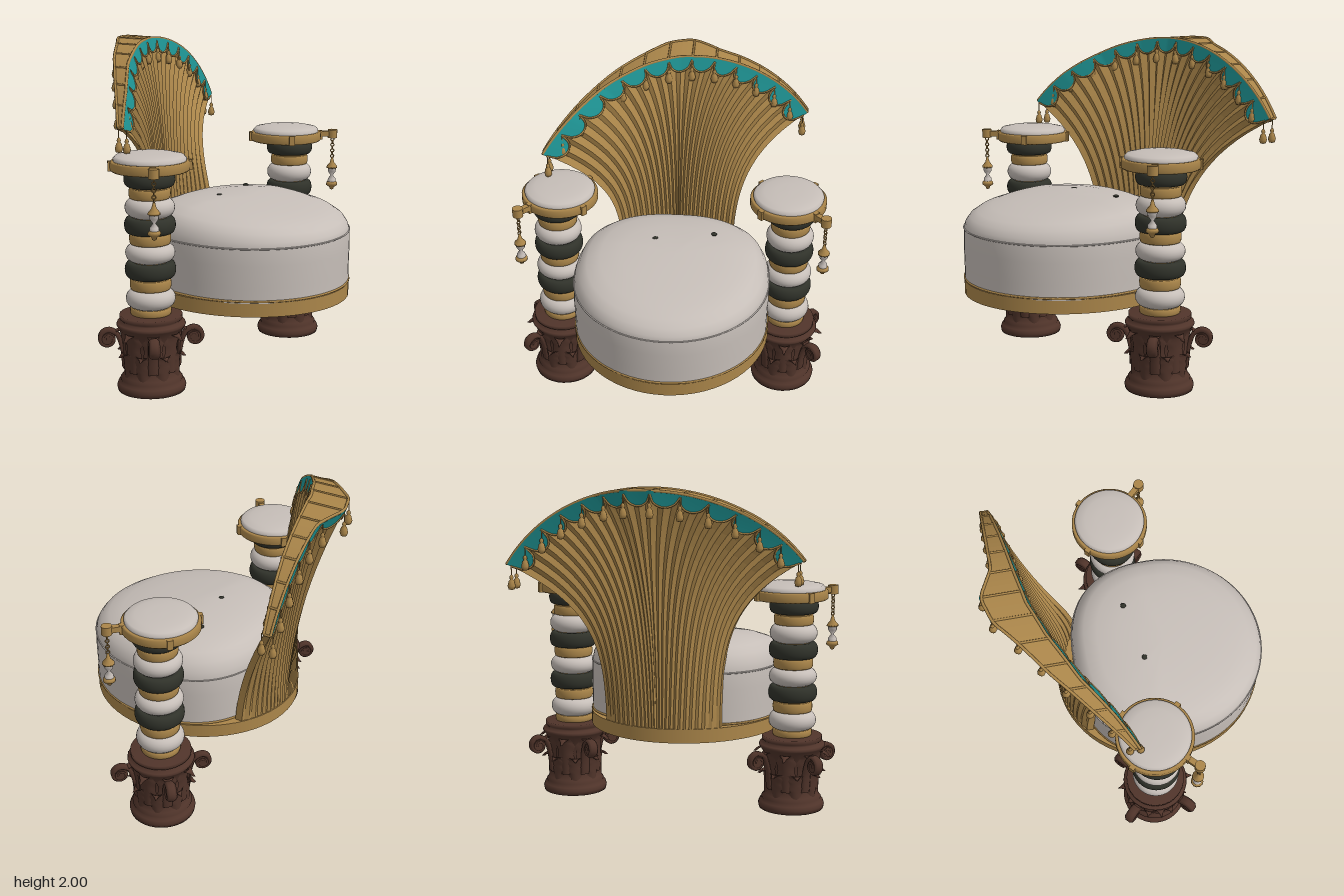
import * as THREE from 'three';
import { mergeVertices } from 'three/addons/utils/BufferGeometryUtils.js';

const mat = (name, color) => {
  const m = new THREE.MeshStandardMaterial({ color, side: THREE.DoubleSide });
  m.name = name;
  return m;
};
const V = (x, y, z) => new THREE.Vector3(x, y, z);
const lerp = THREE.MathUtils.lerp;

// Piecewise linear lookup in a short list of [key, value]
function lookup(pts, k) {
  for (let i = 1; i < pts.length; i++) {
    if (k <= pts[i][0] || i === pts.length - 1) {
      const [a, b] = [pts[i - 1], pts[i]];
      return a[1] + (b[1] - a[1]) * (k - a[0]) / (b[0] - a[0]);
    }
  }
}

// Surface from fn(s, t) with s, t in 0..1
function grid(fn, nu, nv, flat = false) {
  const pos = [], idx = [];
  for (let j = 0; j <= nv; j++) for (let i = 0; i <= nu; i++) pos.push(...fn(i / nu, j / nv).toArray());
  for (let j = 0; j < nv; j++) for (let i = 0; i < nu; i++) {
    const a = j * (nu + 1) + i, c = a + nu + 1;
    idx.push(a, a + 1, c, a + 1, c + 1, c);
  }
  let g = new THREE.BufferGeometry();
  g.setAttribute('position', new THREE.Float32BufferAttribute(pos, 3));
  g.setIndex(idx);
  if (flat) g = g.toNonIndexed();
  g.computeVertexNormals();
  return g;
}

const lathe = (pts, n = 32) => new THREE.LatheGeometry(pts.map(p => new THREE.Vector2(p[0], p[1])), n);
const tube = (pts, r, n = 12) => new THREE.TubeGeometry(new THREE.CatmullRomCurve3(pts), n, r, 6);

export function createModel() {
  const gold = mat('gold', 0xab864a), cream = mat('cream', 0xc6beb8), teal = mat('teal', 0x1f9696);
  const brown = mat('brown', 0x50342a), dark = mat('dark', 0x30322a);
  const model = new THREE.Group();
  const add = (parent, name, geo, m, x = 0, y = 0, z = 0) => {
    const mesh = new THREE.Mesh(geo, m);
    mesh.name = name;
    mesh.position.set(x, y, z);
    parent.add(mesh);
    return mesh;
  };
  const group = (name, parent = model) => {
    const g = new THREE.Group();
    g.name = name;
    parent.add(g);
    return g;
  };

  // Seat platform
  add(model, 'seatPlatform', new THREE.CylinderGeometry(1, 1, 0.085, 64), gold, 0.18, 0.522, 0).scale.set(0.66, 1, 0.61);

  // Seat cushion: a turned profile bent to a rounded outline with a lower front
  const outline = (a, s) => {
    const c = Math.cos(a), n = Math.sin(a), p = c < 0 ? 2 / 2.5 : 1;
    return [0.22 + s * (c < 0 ? 0.58 : 0.615) * Math.sign(c) * Math.abs(c) ** p, s * 0.6 * Math.sign(n) * Math.abs(n) ** p];
  };
  let cushion = lathe([[1, 0.56], [1, 0.65], [1.005, 0.78], [1, 0.88], [0.985, 0.93], [0.94, 0.985], [0.86, 1.025],
    [0.72, 1.055], [0.5, 1.072], [0.25, 1.08], [0, 1.082]], 72);
  const cp = cushion.attributes.position;
  for (let i = 0; i < cp.count; i++) {
    const [x, z] = outline(Math.atan2(cp.getZ(i), cp.getX(i)), Math.hypot(cp.getX(i), cp.getZ(i)));
    const y = cp.getY(i), dip = 0.07 * Math.max(0, (x - 0.1) / 0.7) * Math.max(0, (y - 0.88) / 0.2);
    cp.setXYZ(i, x, y - dip, z);
  }
  cushion.deleteAttribute('uv');
  cushion.deleteAttribute('normal');
  cushion = mergeVertices(cushion, 1e-4);
  cushion.computeVertexNormals();
  add(model, 'seatCushion', cushion, cream);

  // Piping seams and tufting buttons
  for (const [y, r, m] of [[0.572, 0.007, gold], [0.882, 0.005, cream]]) {
    const loop = [];
    for (let i = 0; i < 48; i++) {
      const [x, z] = outline(i / 48 * Math.PI * 2, 1);
      loop.push(V(x, y, z));
    }
    add(model, 'seatPiping', new THREE.TubeGeometry(new THREE.CatmullRomCurve3(loop, true), 96, r, 6, true), m);
  }
  for (const [x, z] of [[0, -0.25], [0.07, 0.11]])
    add(model, 'seatButton', new THREE.SphereGeometry(0.018, 10, 6), dark, x, 1.076, z).scale.y = 0.5;

  // Pleated fan backrest: rim x by z for the front and back faces
  const rimX = {
    front: [[-0.82, -0.73], [-0.5, -0.67], [-0.2, -0.62], [0, -0.58], [0.2, -0.5], [0.45, -0.36], [0.65, -0.2], [0.82, -0.08]],
    back: [[-0.82, -0.77], [-0.5, -0.755], [-0.25, -0.745], [-0.07, -0.825], [0.08, -0.78], [0.22, -0.66], [0.4, -0.52], [0.6, -0.33], [0.82, -0.11]],
  };
  const pleats = 26;
  const fan = (side, u, v, off = 0) => {
    const zr = 0.96 * Math.sin(u), yr = 1.035 + 0.96 * Math.cos(u);
    const zb = 0.36 * Math.sign(u) * Math.abs(u) ** lerp(1.5, 1, v);
    const z = zb + (zr - 0.36 * u) * v ** 4.4;
    const xb = 0.18 - 0.655 * Math.sqrt(1 - (zb / 0.61) ** 2) + (side === 'front' ? 0.045 : 0);
    const dir = side === 'front' ? 1 : -1;
    return V(lerp(xb, lookup(rimX[side], zr), v * v) + dir * off, lerp(0.5, yr, v), z);
  };
  const backrest = group('fanBackrest');
  for (const side of ['front', 'back'])
    add(backrest, side + 'Pleats', grid((s, t) => {
      const fold = Math.round(s * pleats * 2) % 2 ? -1 : 0;
      return fan(side, s * 2 - 1, t, fold * 0.022 * (0.3 + 0.7 * t));
    }, pleats * 2, 22, true), gold);
  add(backrest, 'rimCap', grid((s, t) => fan('front', s * 2 - 1, 1).lerp(fan('back', s * 2 - 1, 1), t), 60, 1, true), gold);
  for (const u of [-1, 1])
    add(backrest, 'sideEdge', grid((s, t) => fan('front', u, t).lerp(fan('back', u, t), s), 1, 22), gold);

  // Scalloped trim with teal inlays, gold cords and tassels on both faces
  const scallops = 13;
  const tassel = lathe([[0, -0.105], [0.018, -0.1], [0.024, -0.08], [0.016, -0.05], [0.008, -0.042], [0.013, -0.034],
    [0.01, -0.022], [0.003, -0.015], [0.003, 0.03]], 10);
  for (const side of ['front', 'back']) {
    const drop = s => 0.012 + 0.048 * Math.sqrt(Math.max(0, 1 - (2 * s - 1) ** 2));
    const rim = [];
    for (let i = 0; i <= 40; i++) rim.push(fan(side, i / 20 - 1, 1));
    add(backrest, side + 'RimCord', tube(rim, 0.009, 80), gold);
    for (let i = 0; i < scallops; i++) {
      const u = s => -1 + 2 * (i + s) / scallops;
      add(backrest, side + 'TealScallop', grid((s, t) => fan(side, u(s), 1 - drop(s) * t, 0.008), 12, 3), teal);
      const edge = [];
      for (let k = 0; k <= 10; k++) edge.push(fan(side, u(k / 10), 1 - drop(k / 10), 0.008));
      add(backrest, side + 'ScallopCord', tube(edge, 0.006, 16), gold);
    }
    for (let i = 0; i <= scallops; i++) {
      const p = fan(side, -1 + 2 * i / scallops, 0.985, 0.014);
      add(backrest, side + 'Tassel', tassel, gold, p.x, p.y - 0.03, p.z);
    }
  }
  for (let i = 0; i <= scallops; i++) {
    const u = -1 + 2 * i / scallops;
    add(backrest, 'rimRib', tube([fan('front', u, 1), fan('back', u, 1)], 0.007, 1), gold);
  }

  // Rounded ring of the column stack
  const ring = (r, y0, y1, k) => {
    const pts = [[0, y0]], h = (y1 - y0) / 2;
    for (let i = 0; i <= 10; i++) {
      const a = -Math.PI / 2 + i / 10 * Math.PI;
      pts.push([r - k + k * Math.cos(a), y0 + h + h * Math.sin(a)]);
    }
    pts.push([0, y1]);
    return lathe(pts, 36);
  };
  const stack = [['gold', 0.46, 0.503], ['cream', 0.5, 0.612], ['gold', 0.612, 0.675], ['dark', 0.683, 0.777],
    ['cream', 0.777, 0.883], ['gold', 0.884, 0.946], ['dark', 0.948, 1.042], ['cream', 1.042, 1.155],
    ['gold', 1.153, 1.213], ['dark', 1.222, 1.306]];
  const style = { gold: [gold, 0.122, 0.008], cream: [cream, 0.146, 0.055], dark: [dark, 0.15, 0.025] };

  // Curling acanthus leaf
  const leaf = (y0, h, w, r0, curl) => grid((s, t) => {
    const b = 2 * s - 1, width = w * Math.sin(Math.PI * (0.22 + 0.74 * t)) * (1 + 0.12 * Math.cos(t * 30));
    const y = y0 + h * Math.sin(t * 2.1);
    return V(b * width, y, r0 + 0.02 - 0.02 * b * b + curl * t ** 3);
  }, 6, 14);

  for (const side of [1, -1]) {
    const column = group(side > 0 ? 'leftColumn' : 'rightColumn');
    column.position.set(side > 0 ? 0.035 : 0.01, 0, side * 0.718);

    // Carved foot
    add(column, 'carvedFoot', lathe([[0, 0], [0.2, 0], [0.205, 0.025], [0.197, 0.048], [0.18, 0.055], [0.185, 0.07], [0.17, 0.09],
      [0.155, 0.12], [0.148, 0.2], [0.152, 0.28], [0.172, 0.35], [0.2, 0.39], [0.205, 0.4], [0.2, 0.412], [0.17, 0.42],
      [0.185, 0.435], [0.185, 0.46], [0, 0.465]], 36), brown);
    for (let i = 0; i < 8; i++) {
      const a = i / 8 * Math.PI * 2;
      add(column, 'lowerLeaf', leaf(0.09, 0.15, 0.058, 0.15, 0.045), brown).rotation.y = a + Math.PI / 8;
      add(column, 'upperLeaf', leaf(0.13, 0.24, 0.058, 0.15, 0.075), brown).rotation.y = a;
    }
    for (let i = 0; i < 4; i++) {
      const volute = group('volute', column);
      volute.rotation.y = Math.PI / 4 + i * Math.PI / 2;
      const spiral = [V(0, 0.14, 0.16), V(0, 0.25, 0.17), V(0, 0.34, 0.2)];
      for (let k = 0; k <= 14; k++) {
        const a = 2.3 - k * 0.62, r = 0.055 - k * 0.0028;
        spiral.push(V(0, 0.315 + r * Math.sin(a), 0.255 + r * Math.cos(a)));
      }
      const scroll = add(volute, 'scroll', tube(spiral, 0.016, 50), brown);
      scroll.scale.x = 2;
      add(volute, 'scrollCore', new THREE.CylinderGeometry(0.036, 0.036, 0.05, 16), brown, 0, 0.315, 0.255).rotation.z = Math.PI / 2;
    }

    // Stacked shaft
    add(column, 'shaftCore', new THREE.CylinderGeometry(0.105, 0.105, 0.86, 24), gold, 0, 0.89, 0);
    for (const [c, y0, y1] of stack) add(column, c + 'ShaftRing', ring(style[c][1], y0, y1, style[c][2]), style[c][0]);

    // Armrest pad on a gold tray with clips
    const arm = group('armrest', column);
    arm.position.set(-0.015, 0, -side * 0.022);
    add(arm, 'tray', lathe([[0, 1.308], [0.222, 1.308], [0.232, 1.318], [0.232, 1.36], [0.222, 1.368], [0, 1.368]], 48), gold);
    add(arm, 'pad', lathe([[0.212, 1.365], [0.214, 1.38], [0.2, 1.395], [0.15, 1.406], [0.08, 1.411], [0, 1.412]], 48), cream);
    for (let i = 0; i < 4; i++) {
      const a = Math.PI / 4 + i * Math.PI / 2;
      const clip = add(arm, 'clip', new THREE.BoxGeometry(0.035, 0.06, 0.035), gold, 0.226 * Math.cos(a), 1.338, 0.226 * Math.sin(a));
      clip.rotation.y = -a;
    }

    // Bracket with a hanging charm
    const bracket = group('bracket', arm);
    bracket.rotation.y = -side * Math.PI / 4;
    add(bracket, 'bracketArm', new THREE.BoxGeometry(0.11, 0.035, 0.035), gold, 0.265, 1.345, 0);
    add(bracket, 'bracketKnob', new THREE.CylinderGeometry(0.032, 0.032, 0.055, 12), gold, 0.315, 1.345, 0);
    for (let i = 0; i < 7; i++) {
      const link = add(bracket, 'chainLink', new THREE.TorusGeometry(0.011, 0.004, 5, 10), gold, 0.315, 1.308 - i * 0.019, 0);
      link.rotation.y = i % 2 * Math.PI / 2;
    }
    add(bracket, 'charmTop', lathe([[0, 1.105], [0.036, 1.115], [0.036, 1.125], [0.015, 1.15], [0.006, 1.185], [0, 1.19]], 12), gold, 0.315, 0, 0);
    add(bracket, 'charmGlass', lathe([[0.028, 1.02], [0.026, 1.04], [0.008, 1.065], [0.026, 1.09], [0.028, 1.112]], 12), cream, 0.315, 0, 0);
    add(bracket, 'charmBase', lathe([[0, 0.965], [0.012, 0.972], [0.016, 0.985], [0.038, 1.0], [0.036, 1.015], [0.02, 1.03], [0, 1.032]], 12), gold, 0.315, 0, 0);
  }
  return model;
}
